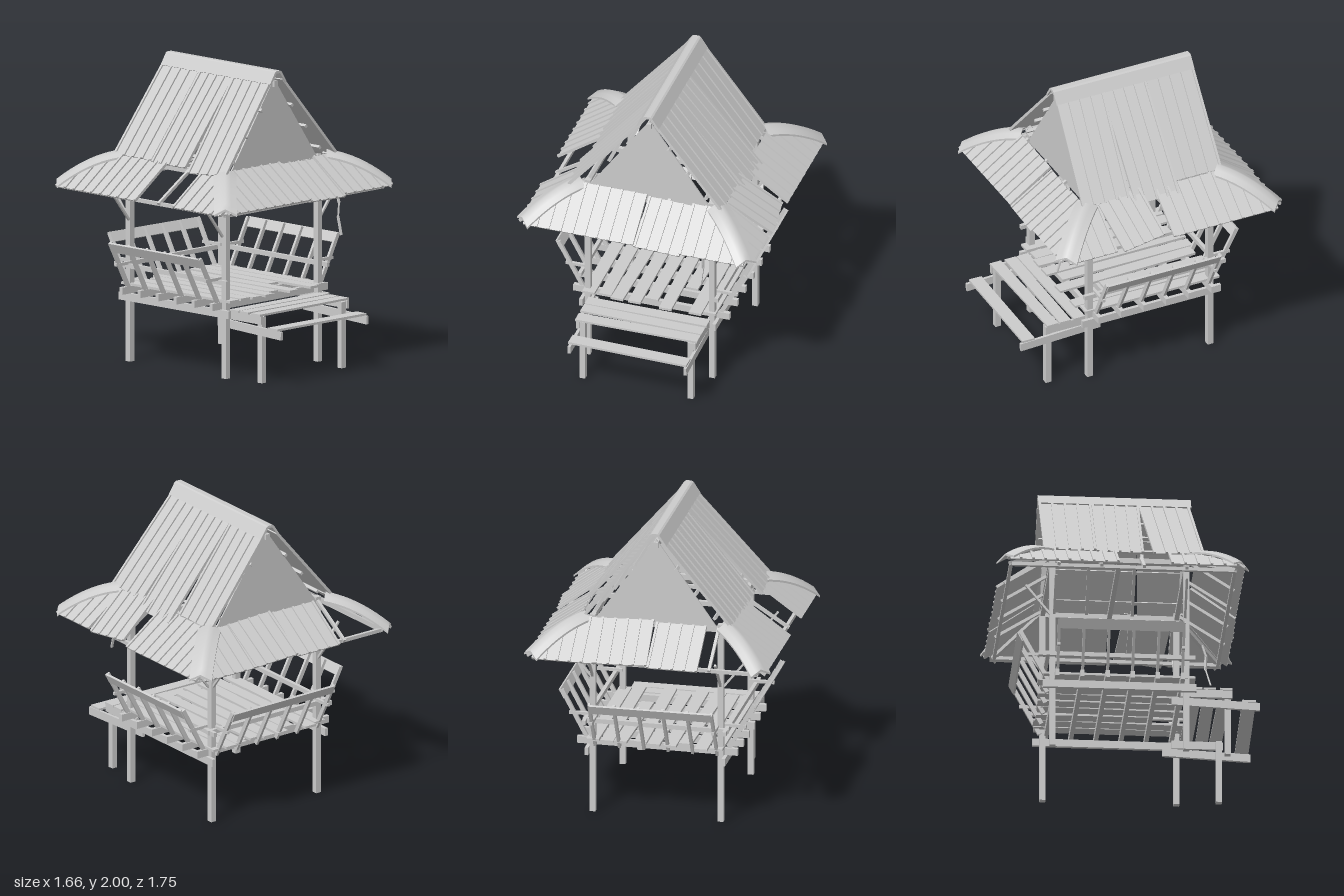
import * as THREE from 'three';

const material = new THREE.MeshStandardMaterial({ color: 0xcccccc });
const V = (x, y, z) => new THREE.Vector3(x, y, z);

function add(parent, name, geometry) {
  const mesh = new THREE.Mesh(geometry, material);
  mesh.name = name;
  parent.add(mesh);
  return mesh;
}

function box(parent, name, w, h, d, x, y, z) {
  const mesh = add(parent, name, new THREE.BoxGeometry(w, h, d));
  mesh.position.set(x, y, z);
  return mesh;
}

// Straight timber between two points, w wide and h high
function bar(parent, name, a, b, w, h) {
  const mesh = add(parent, name, new THREE.BoxGeometry(w, h, a.distanceTo(b)));
  mesh.position.copy(a).lerp(b, 0.5);
  mesh.quaternion.setFromRotationMatrix(new THREE.Matrix4().lookAt(b, a, V(0, 1, 0)));
  return mesh;
}

// Group whose +z points outward: 0 front, 1 left (+x), 2 back, 3 right (-x)
function sideGroup(parent, name, k) {
  const group = new THREE.Group();
  group.name = name;
  group.rotation.y = k * Math.PI / 2;
  parent.add(group);
  return group;
}

// Ribbed roofing sheet from u0 to u1, rising from [distance, height] low to top.
// A hipped sheet is cut back along the corner diagonals.
function roofSheet(parent, name, u0, u1, low, top, twist = 0, hip = false) {
  const run = low[0] - top[0], rise = top[1] - low[1], L = Math.hypot(run, rise);
  const height = u => hip ? Math.max(0.01, Math.min(L, (low[0] - Math.abs(u)) * L / run)) : L;
  const uc = (u0 + u1) / 2;
  const points = [[u0, 0], [u1, 0], [u1, height(u1)]];
  if (hip && u1 > top[0]) points.push([top[0], L]);
  if (hip && u0 < -top[0]) points.push([-top[0], L]);
  points.push([u0, height(u0)]);
  const shape = new THREE.Shape(points.map(p => new THREE.Vector2(p[0] - uc, p[1])));

  const slope = new THREE.Group();
  slope.name = name;
  slope.position.set(0, low[1], low[0]);
  slope.rotation.x = -Math.atan2(run, rise);
  parent.add(slope);
  const sheet = new THREE.Group();
  sheet.position.x = uc;
  sheet.rotation.z = twist;
  slope.add(sheet);
  add(sheet, 'sheet', new THREE.ExtrudeGeometry(shape, { depth: 0.009, bevelEnabled: false }));
  const n = Math.max(2, Math.round((u1 - u0) / 0.083));
  for (let i = 0; i <= n; i++) {
    const u = u0 + 0.008 + (u1 - u0 - 0.016) * i / n, h = height(u);
    box(sheet, 'rib', 0.016, h, 0.014, u - uc, h / 2, 0.012);
  }
}

function buildBase(g) {
  for (const s of [-1, 1]) {
    for (const z of [-0.44, 0.44]) box(g, 'mainPost', 0.04, 1.38, 0.04, s * 0.43, 0.69, z);
    box(g, 'stepPost', 0.04, 0.44, 0.04, s * 0.373, 0.22, 0.715);
    box(g, 'sideBeam', 0.024, 0.052, 1.01, s * 0.46, 0.434, 0);
    box(g, 'landingBeam', 0.02, 0.055, 0.34, s * 0.403, 0.422, 0.575);
    bar(g, 'stepBeam', V(s * 0.4, 0.34, 0.925), V(s * 0.4, 0.364, 0.345), 0.02, 0.055);
  }
  for (let i = 0; i < 6; i++) box(g, 'joist', 1.08, 0.048, 0.028, 0, 0.484, 0.41 - i * 0.165);

  // Weathered deck boards: [x, z centre, length, yaw]
  const boards = [[-0.41, 0, 1.0, 0], [-0.305, -0.02, 1.02, 0.015], [-0.2, 0.03, 0.96, -0.02],
    [-0.095, 0, 1.02, 0.01], [0.01, -0.03, 0.95, 0], [0.115, 0.02, 1.0, 0.025],
    [0.225, -0.13, 0.74, -0.02], [0.325, 0, 1.02, 0.01], [0.42, -0.01, 0.98, 0]];
  for (const [x, z, len, yaw] of boards)
    box(g, 'deckBoard', 0.085, 0.016, len, x, 0.517, z).rotation.y = yaw;

  // Entrance landing and lower step
  [[0.7, 0.01], [0.6, -0.012], [0.505, 0.006]].forEach(([z, yaw]) => {
    box(g, 'landingBoard', 0.84, 0.014, 0.082, 0, 0.456, z).rotation.y = yaw;
  });
  box(g, 'stepBoard', 0.82, 0.015, 0.09, -0.005, 0.377, 0.86).rotation.y = -0.015;
}

// Outward-leaning back rests on every side but the entrance
function buildRailings(g) {
  for (const k of [1, 2, 3]) {
    const side = sideGroup(g, 'railing', k);
    for (let i = 0; i < 6; i++) {
      const u = -0.41 + i * 0.164;
      bar(side, 'railingSlat', V(u, 0.47, 0.46), V(u, 0.82, 0.645), 0.018, 0.028);
    }
    const board = box(side, 'topBoard', 0.82, 0.07, 0.015, 0, 0.79, 0.645);
    board.rotation.x = 0.48;
    if (k === 2) board.rotation.z = 0.012;
    box(side, 'postRail', k === 2 ? 0.98 : 1.03, 0.03, 0.025, k === 2 ? 0 : (k === 1 ? 0.02 : -0.02), 0.645, 0.472);
    for (const u of [-0.41, 0.41]) box(side, 'railBracket', 0.02, 0.02, 0.17, u, 0.665, 0.51);
  }
}

function buildRoofFrame(g) {
  for (let k = 0; k < 4; k++) {
    const side = sideGroup(g, 'eaveFrame', k);
    box(side, 'eaveBeam', 1.48, 0.024, 0.022, 0, 1.163, 0.735);
    box(side, 'topPlate', 0.92, 0.035, 0.03, 0, 1.345, 0.44);
    for (const u of [-0.42, -0.14, 0.14, 0.42])
      bar(side, 'eaveRafter', V(u, 1.165, 0.755), V(u, 1.355, 0.46), 0.02, 0.02);
    if (k > 0) for (const u of [-0.43, 0.43])
      bar(side, 'brace', V(u, 0.945, 0.45), V(u, 1.155, 0.615), 0.016, 0.014);
    const hip = new THREE.Group();
    hip.rotation.y = Math.PI / 4;
    side.add(hip);
    bar(hip, 'hipRafter', V(0, 1.165, 1.05), V(0, 1.355, 0.64), 0.025, 0.025);
  }
  // Broken brace hanging at the entrance
  bar(g, 'brokenBrace', V(0.43, 1.16, 0.61), V(0.43, 1.08, 0.635), 0.016, 0.012);
  bar(g, 'brokenBrace', V(0.43, 1.09, 0.635), V(0.425, 0.98, 0.63), 0.016, 0.012);
  bar(g, 'brokenBrace', V(0.425, 0.99, 0.63), V(0.42, 0.87, 0.665), 0.016, 0.01);

  box(g, 'tieBeam', 0.86, 0.03, 0.03, 0, 1.345, 0);
  box(g, 'ridgeBeam', 0.03, 0.04, 0.96, 0, 1.91, 0);
  for (const s of [-1, 1]) for (const t of [0.12, 0.42, 0.72])
    box(g, 'purlin', 0.02, 0.02, 0.98, s * (0.45 - 0.43 * t), 1.37 + 0.53 * t, 0).rotation.z = -s * 0.9;
  for (const s of [-1, 1]) for (const z of [-0.15, 0.15])
    bar(g, 'rafter', V(s * 0.44, 1.35, z), V(s * 0.015, 1.89, z), 0.02, 0.02);

  // Gable walls
  const tri = new THREE.Shape([[-0.405, 1.365], [0.405, 1.365], [0, 1.945]].map(p => new THREE.Vector2(...p)));
  for (const z of [-0.46, 0.45])
    add(g, 'gableWall', new THREE.ExtrudeGeometry(tri, { depth: 0.01, bevelEnabled: false })).position.z = z;
}

function buildRoof(g) {
  const sides = ['front', 'left', 'back', 'right'].map((n, k) => sideGroup(g, n + 'Roof', k));
  const eave = [0.795, 1.165], head = [0.5, 1.375];
  // Lower skirt sheets: [side, from, to, twist, lift]
  const skirts = [[0, -0.76, 0, 0, 0.008], [0, 0, 0.32, -0.03, -0.008], [0, 0.315, 0.76, 0, 0.005],
    [1, 0, 0.76, 0, 0], [1, -0.37, -0.05, 0.14, 0.012], [1, -0.76, -0.41, 0, 0],
    [2, -0.76, -0.34, 0, 0], [2, -0.34, 0.01, 0.04, 0.008], [2, 0.01, 0.35, 0, 0],
    [3, -0.76, -0.025, 0, 0], [3, 0.315, 0.76, 0, 0]];
  for (const [k, a, b, twist, lift] of skirts)
    roofSheet(sides[k], 'skirtSheet', a, b, [eave[0], eave[1] + lift], [head[0], head[1] + lift], twist, true);

  // Steep upper sheets: [side, from, to, low distance, low height, twist]
  const upper = [[1, -0.53, -0.19, 0.515, 1.375, -0.05], [1, -0.165, 0.155, 0.56, 1.325, 0],
    [1, 0.157, 0.505, 0.475, 1.37, 0], [3, -0.505, -0.157, 0.505, 1.38, 0],
    [3, -0.155, 0.155, 0.51, 1.37, 0], [3, 0.215, 0.55, 0.54, 1.36, 0.085]];
  for (const [k, a, b, d, y, twist] of upper)
    roofSheet(sides[k], 'upperSheet', a, b, [d, y], [0.045, 1.93], twist);

  // Folded ridge cap
  const cap = new THREE.Shape([[-0.078, 1.92], [-0.03, 1.993], [-0.018, 2], [0.018, 2], [0.03, 1.993],
    [0.078, 1.92], [0.066, 1.914], [0.016, 1.983], [-0.016, 1.983], [-0.066, 1.914]].map(p => new THREE.Vector2(...p)));
  add(g, 'ridgeCap', new THREE.ExtrudeGeometry(cap, { depth: 1.005, bevelEnabled: false })).position.z = -0.505;

  // Bowed caps over the four hips
  for (let k = 0; k < 4; k++) {
    const geo = new THREE.BoxGeometry(0.15, 0.014, 0.424, 4, 1, 10);
    const p = geo.attributes.position;
    for (let i = 0; i < p.count; i++) {
      const t = p.getZ(i) / 0.424 + 0.5;
      const rise = 1.405 - 0.195 * t + 0.14 * t * (1 - t);
      p.setY(i, p.getY(i) + rise - 0.5 * Math.abs(p.getX(i)));
    }
    geo.computeVertexNormals();
    const mesh = add(new THREE.Group(), 'hipCap', geo.translate(0, 0, 0.884));
    mesh.rotation.y = Math.PI / 4 + k * Math.PI / 2;
    g.add(mesh);
  }
}

export function createModel() {
  const model = new THREE.Group();
  model.name = 'pavilion';
  for (const [name, build] of [['base', buildBase], ['railings', buildRailings],
    ['roofFrame', buildRoofFrame], ['roof', buildRoof]]) {
    const part = new THREE.Group();
    part.name = name;
    part.position.set(-0.005, 0, -0.045);
    build(part);
    model.add(part);
  }
  return model;
}
